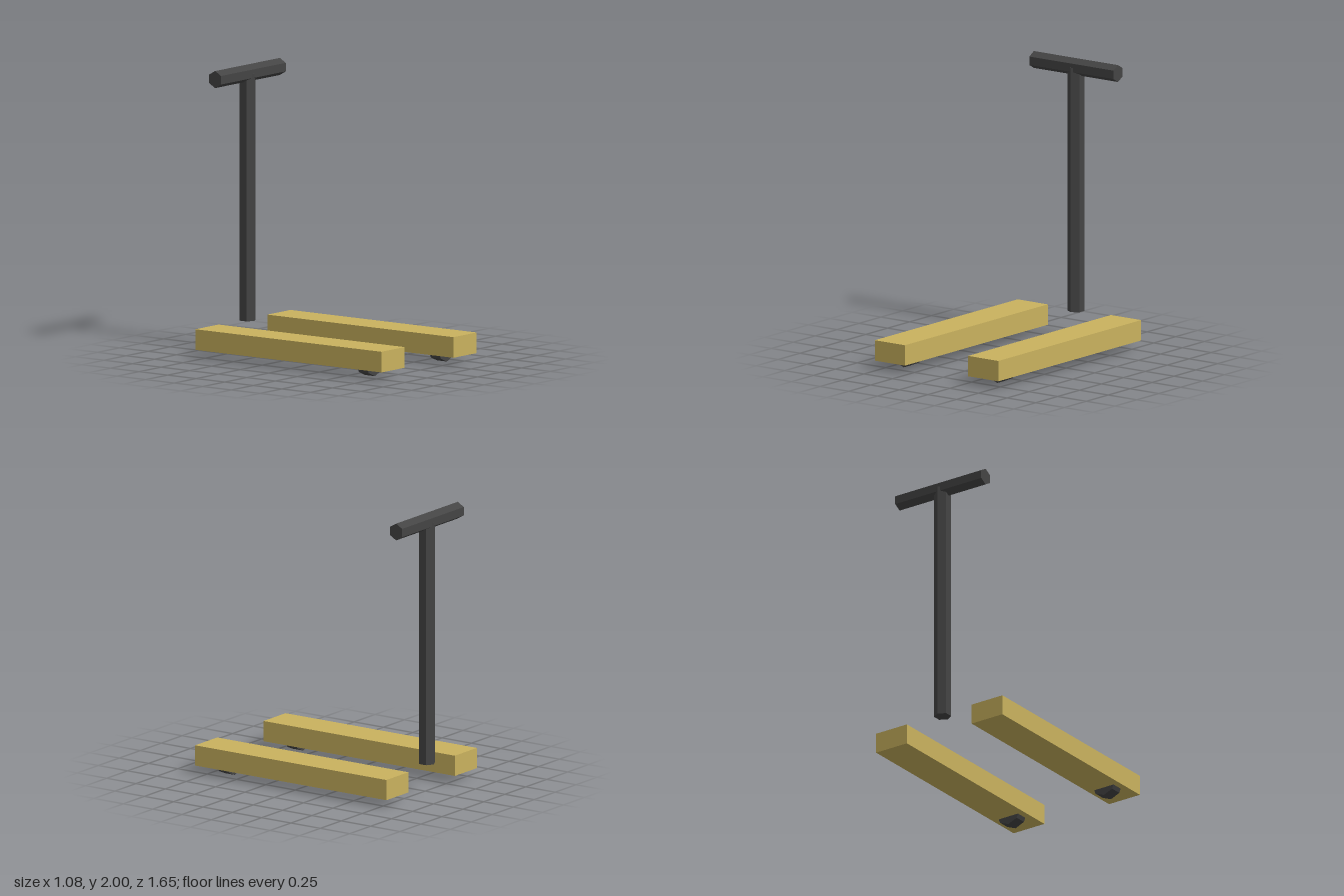
import * as THREE from 'three';

export function createModel() {
  const group = new THREE.Group();
  const yellow = new THREE.MeshStandardMaterial({ color: 0xc9b25e, flatShading: true });
  yellow.name = 'mustard yellow';
  const dark = new THREE.MeshStandardMaterial({ color: 0x444444, flatShading: true });
  dark.name = 'dark grey';

  function add(name, geometry, material, x, y, z) {
    const mesh = new THREE.Mesh(geometry, material);
    mesh.name = name;
    mesh.position.set(x, y, z);
    group.add(mesh);
  }

  // Upright hexagonal handle column
  const columnBottom = 0.205, barY = 1.94, columnZ = -0.765;
  add('handleColumn', new THREE.CylinderGeometry(0.06, 0.06, barY - columnBottom, 6), dark,
    0, (barY + columnBottom) / 2, columnZ);

  // Hexagonal crossbar with an edge on top
  const bar = new THREE.CylinderGeometry(0.06, 0.06, 0.735, 6).rotateY(Math.PI / 2).rotateZ(Math.PI / 2);
  add('handleBar', bar, dark, 0, barY, columnZ);

  // Two forks, each with an eight-sided roller sunk into its underside
  const fork = new THREE.BoxGeometry(0.263, 0.145, 1.63);
  const roller = new THREE.CylinderGeometry(0.1, 0.1, 0.086, 8).rotateX(Math.PI / 2);
  for (const [side, s] of [['left', 1], ['right', -1]]) {
    add(side + 'Fork', fork, yellow, s * 0.408, 0.1325, 0.01);
    add(side + 'Roller', roller, dark, s * 0.408, 0.102, 0.623);
  }
  return group;
}
